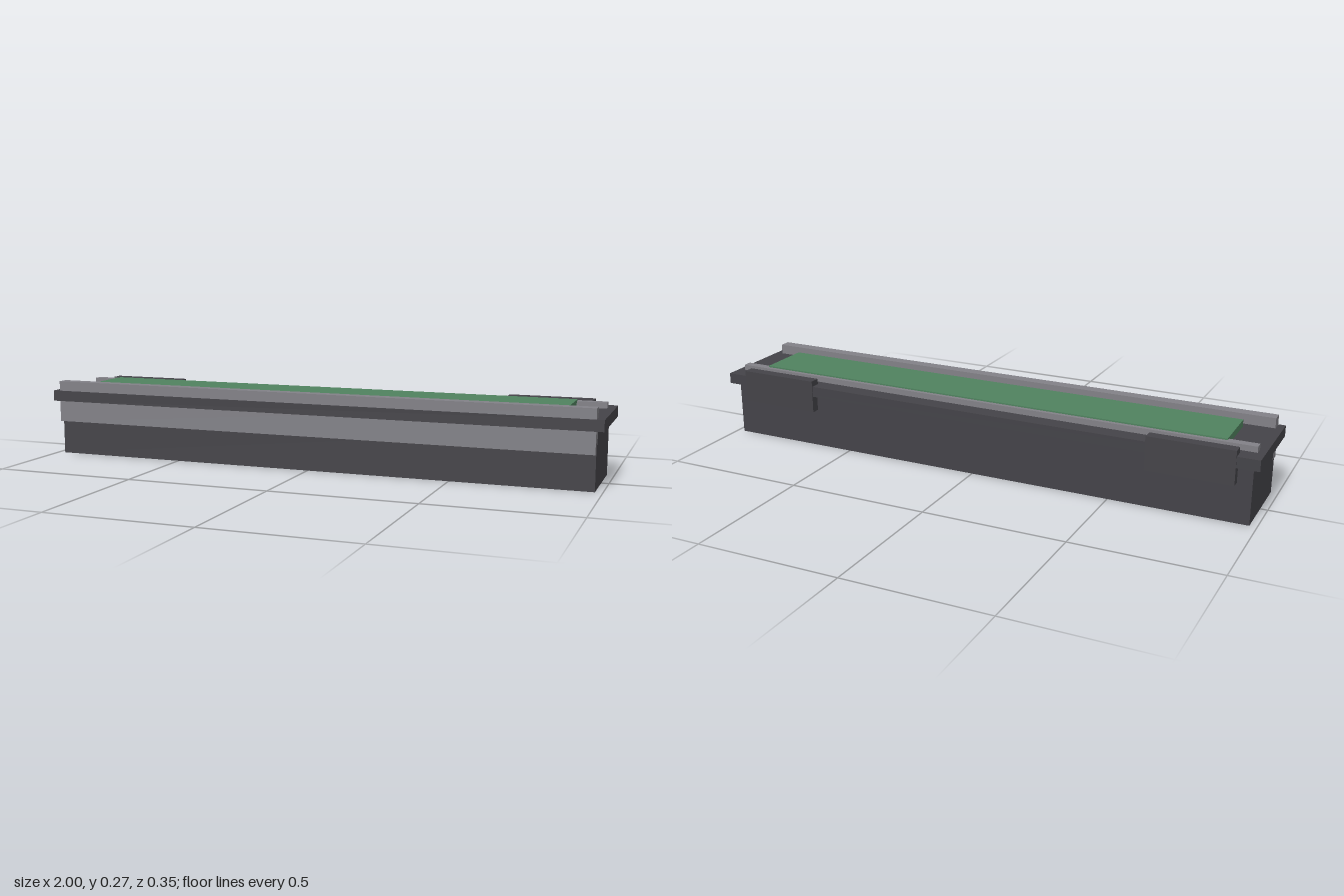
import * as THREE from 'three';

const material = (name, color) => {
  const m = new THREE.MeshStandardMaterial({ color });
  m.name = name;
  return m;
};

export function createModel() {
  const dark = material('charcoal', 0x444348);
  const grey = material('grey', 0x828187);
  const green = material('green', 0x50825f);
  const model = new THREE.Group();
  model.name = 'planterBox';

  // Box given by its extents along each axis
  const box = (name, mat, [x0, x1], [y0, y1], [z0, z1]) => {
    const mesh = new THREE.Mesh(new THREE.BoxGeometry(x1 - x0, y1 - y0, z1 - z0), mat);
    mesh.position.set((x0 + x1) / 2, (y0 + y1) / 2, (z0 + z1) / 2);
    mesh.name = name;
    model.add(mesh);
  };

  // Trough and its overhanging lid
  box('body', dark, [-0.975, 0.975], [0, 0.197], [-0.143, 0.15]);
  box('lid', dark, [-1, 1], [0.197, 0.235], [-0.17, 0.173]);

  // Raised green panel
  box('topPanel', green, [-0.875, 0.875], [0.23, 0.26], [-0.095, 0.1]);

  // Front rail runs through the lid and hangs below it; back rail sits on top
  box('frontRail', grey, [-0.975, 0.975], [0.122, 0.27], [0.13, 0.17]);
  box('backRail', grey, [-0.975, 0.975], [0.21, 0.255], [-0.11, -0.08]);

  // Clips hooked over the back edge
  for (const [name, x] of [['leftClip', 0.778], ['rightClip', -0.778]]) {
    box(name, dark, [x - 0.147, x + 0.147], [0.138, 0.255], [-0.173, -0.135]);
  }

  return model;
}
